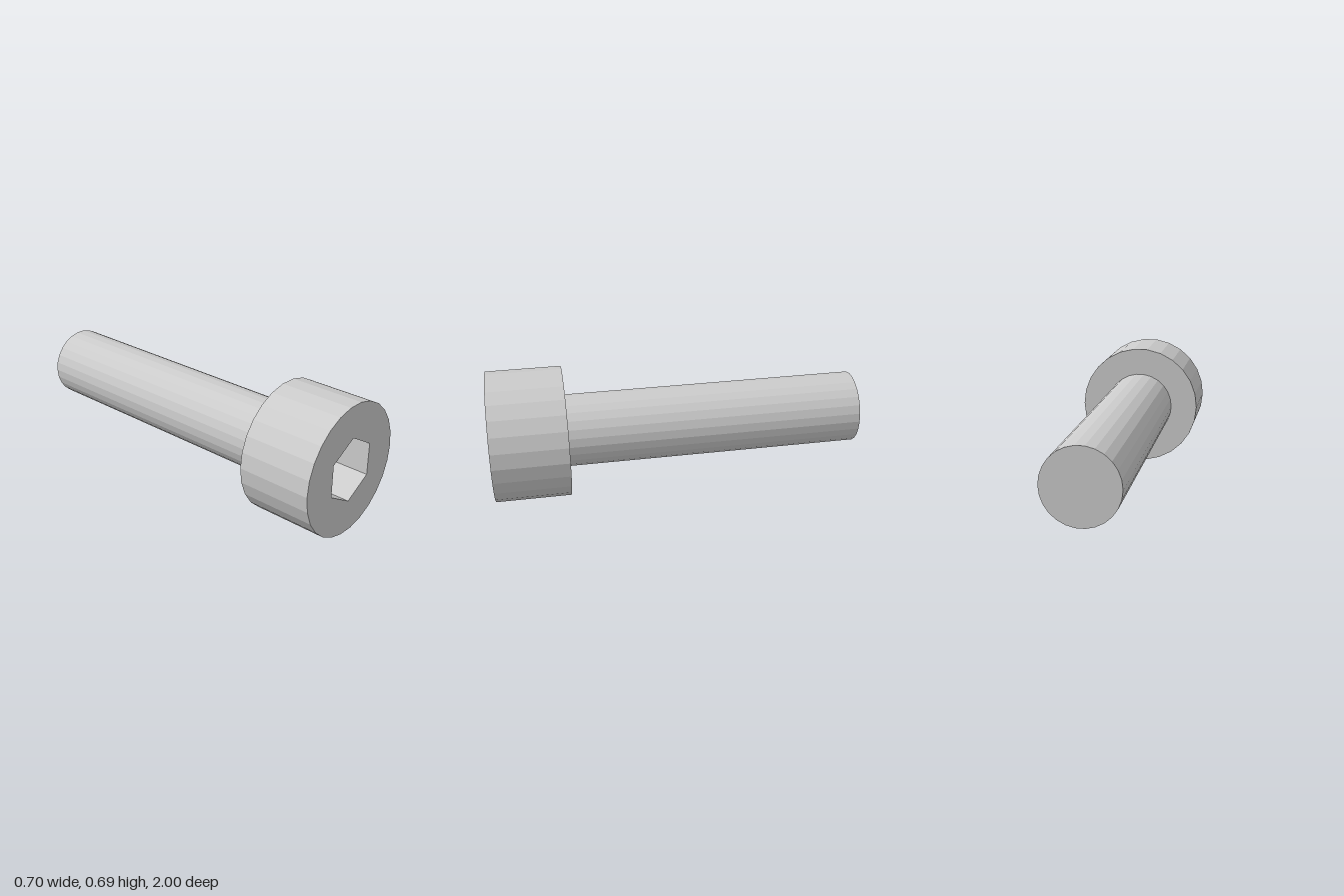
import * as THREE from 'three';

const SIDES = 26;
const HEAD_R = 0.35, SHAFT_R = 0.195, SOCKET_R = 0.174;
const FRONT = 1, SHOULDER = 0.6, BACK = -1, SOCKET_FLOOR = 0.75;
const CENTRE_Y = 0.3475;

// Faceted solid of revolution about z; profile is a list of [radius, z]
function turned(profile, sides, start) {
  const points = profile.map(([r, z]) => new THREE.Vector2(r, z));
  return new THREE.LatheGeometry(points, sides, start).rotateX(Math.PI / 2);
}

// Corners of a regular polygon in the xy plane
function polygon(radius, sides, start) {
  return Array.from({ length: sides }, (_, i) => {
    const a = start + (i / sides) * Math.PI * 2;
    return new THREE.Vector2(radius * Math.cos(a), radius * Math.sin(a));
  });
}

export function createModel() {
  const group = new THREE.Group();
  group.name = 'socketHeadBolt';
  const material = new THREE.MeshStandardMaterial({ color: 0xcccccc, flatShading: true });
  const add = (name, geometry) => {
    const mesh = new THREE.Mesh(geometry, material);
    mesh.name = name;
    mesh.position.y = CENTRE_Y;
    group.add(mesh);
  };

  // Shaft with its closed end
  add('shaft', turned([[0, BACK], [SHAFT_R, BACK], [SHAFT_R, SHOULDER]], SIDES, Math.PI / 2));

  // Head rim and the shoulder behind it
  add('head', turned([[SHAFT_R, SHOULDER], [HEAD_R, SHOULDER], [HEAD_R, FRONT]], SIDES, Math.PI / 2));

  // Front face with the hexagonal opening
  const face = new THREE.Shape(polygon(HEAD_R, SIDES, 0));
  face.holes.push(new THREE.Path(polygon(SOCKET_R, 6, Math.PI / 2)));
  add('headFace', new THREE.ShapeGeometry(face).translate(0, 0, FRONT));

  // Hexagonal socket: inward walls and floor
  add('hexSocket', turned([[SOCKET_R, FRONT], [SOCKET_R, SOCKET_FLOOR], [0, SOCKET_FLOOR]], 6, 0));

  return group;
}
